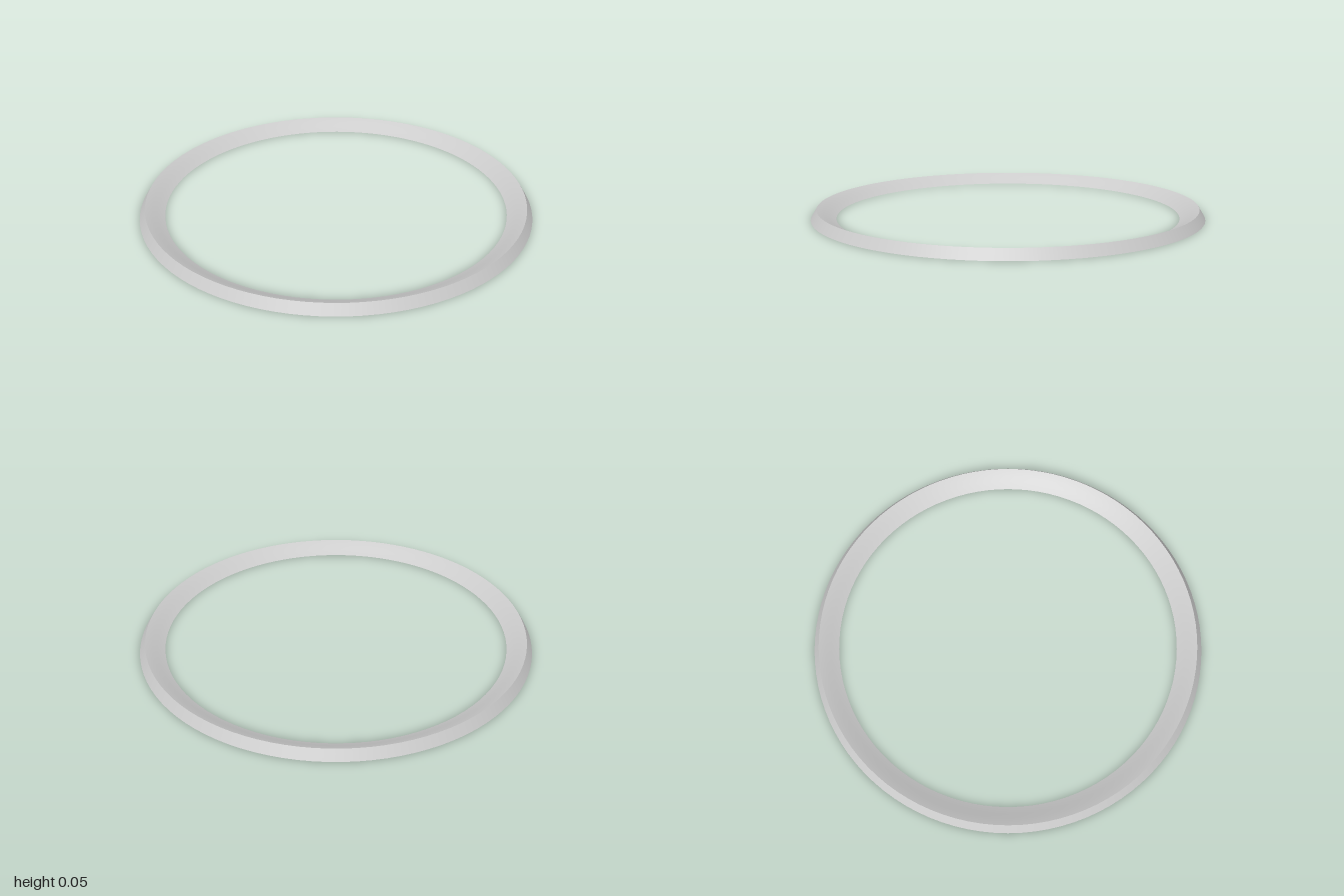
import * as THREE from 'three';

export function createModel() {
  const group = new THREE.Group();
  group.name = 'ring';
  const material = new THREE.MeshStandardMaterial({ color: 0xcccccc, side: THREE.DoubleSide });

  // Revolve a [radius, height] profile; separate bands keep the ridge sharp
  const addBand = (name, profile) => {
    const points = profile.map(([r, y]) => new THREE.Vector2(r, y));
    const mesh = new THREE.Mesh(new THREE.LatheGeometry(points, 96), material);
    mesh.name = name;
    group.add(mesh);
  };

  // Steep outer wall, leaning in to the ridge
  addBand('outerWall', [[1, 0], [0.97, 0.05]]);
  // Shallow inner slope, slightly steeper midway; the underside stays open
  addBand('innerSlope', [[0.97, 0.05], [0.935, 0.034], [0.91, 0.018], [0.873, 0]]);

  return group;
}
